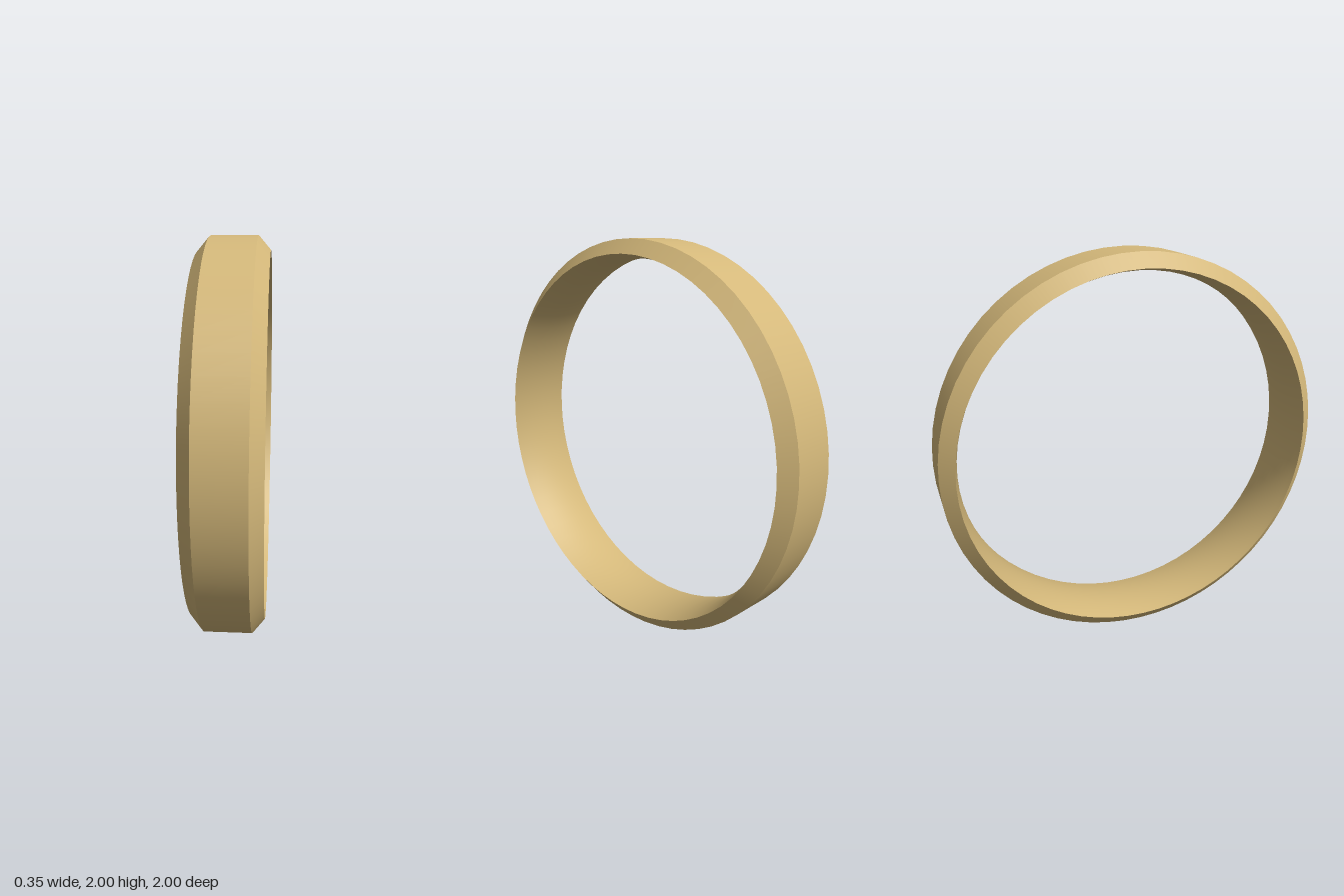
import * as THREE from 'three';

const SEGMENTS = 64;
const HALF_WIDTH = 0.175, HALF_FLAT = 0.115;
const OUTER = 1, RIM = 0.93, INNER = 0.905;

export function createModel() {
  const ring = new THREE.Group();
  ring.name = 'ring';
  const material = new THREE.MeshStandardMaterial({ color: 0xd4b87a });

  // Each band is its own lathe, so the edges between bands stay sharp
  const addBand = (name, points) => {
    const profile = points.map(([r, y]) => new THREE.Vector2(r, y));
    const band = new THREE.Mesh(new THREE.LatheGeometry(profile, SEGMENTS), material);
    band.name = name;
    band.rotation.z = -Math.PI / 2; // lathe axis onto x
    band.position.y = OUTER;
    ring.add(band);
  };

  // Outside: flat band between two bevels
  addBand('rightBevel', [[RIM, -HALF_WIDTH], [OUTER, -HALF_FLAT]]);
  addBand('outerBand', [[OUTER, -HALF_FLAT], [OUTER, HALF_FLAT]]);
  addBand('leftBevel', [[OUTER, HALF_FLAT], [RIM, HALF_WIDTH]]);

  // Inside: gently domed towards the axis
  const dome = [];
  for (let i = 0; i <= 12; i++) {
    const t = 1 - i / 6;
    dome.push([INNER + (RIM - INNER) * t * t, HALF_WIDTH * t]);
  }
  addBand('innerBand', dome);

  return ring;
}
